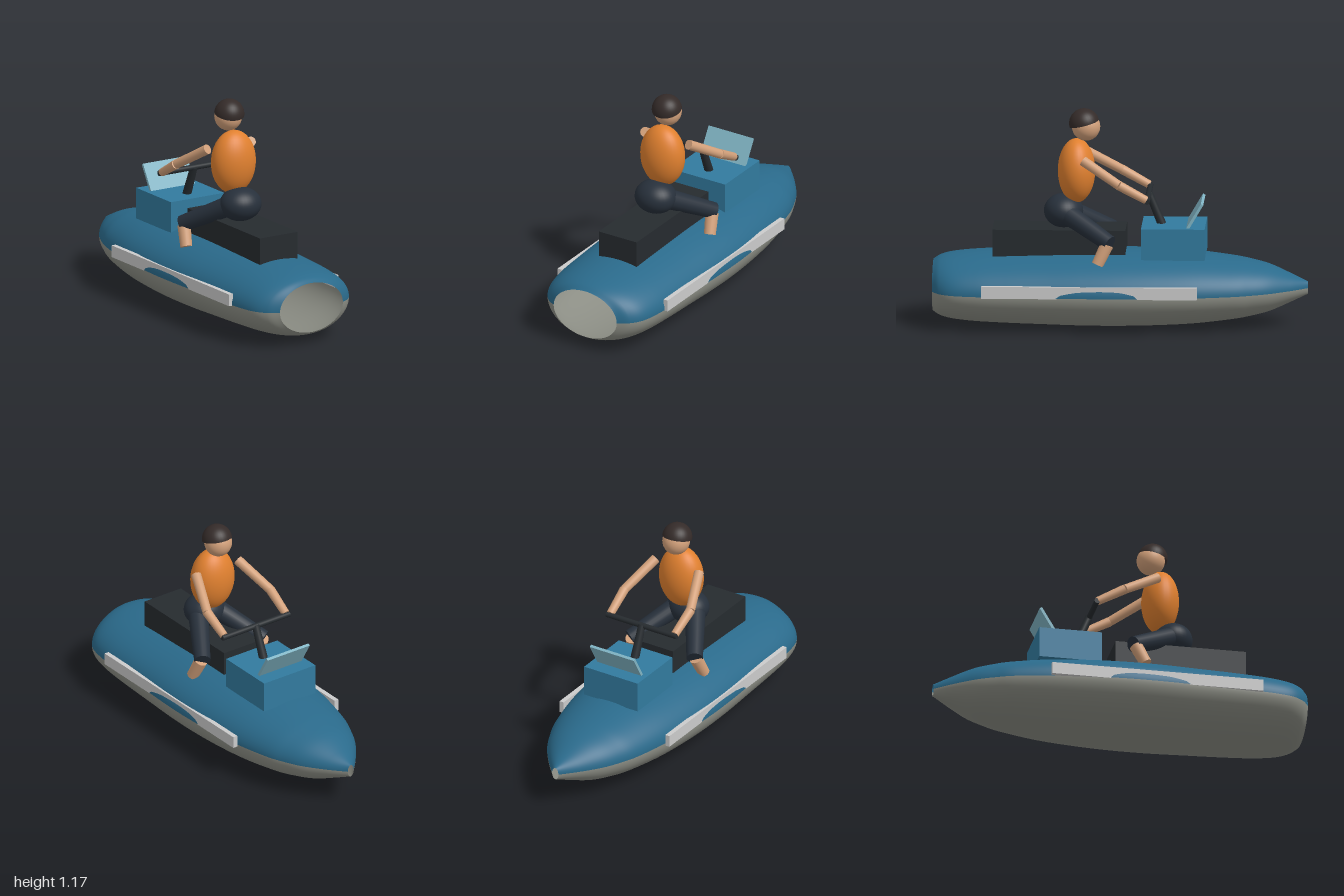
import * as THREE from 'three';
import { ParametricGeometry } from 'three/addons/geometries/ParametricGeometry.js';

const mat = (color, side = THREE.FrontSide) => new THREE.MeshStandardMaterial({ color, side });
const V = (x, y, z) => new THREE.Vector3(x, y, z);

export function createModel() {
  const model = new THREE.Group();
  const skin = mat(0xd2a07a), trousers = mat(0x27303b), dark = mat(0x262b2f);
  const white = mat(0xdcdedc), consoleBlue = mat(0x327a9e);

  const add = (name, geometry, material, position) => {
    const mesh = new THREE.Mesh(geometry, material);
    mesh.name = name;
    if (position) mesh.position.copy(position);
    model.add(mesh);
    return mesh;
  };
  // Box given by its lowest and highest corners
  const box = (name, a, b, material) =>
    add(name, new THREE.BoxGeometry(b.x - a.x, b.y - a.y, b.z - a.z), material, a.clone().add(b).multiplyScalar(0.5));
  // Tapered rod between two points
  const rod = (name, a, b, ra, rb, material) => {
    const dir = b.clone().sub(a);
    const mesh = add(name, new THREE.CylinderGeometry(rb, ra, dir.length(), 20), material, a.clone().lerp(b, 0.5));
    mesh.quaternion.setFromUnitVectors(V(0, 1, 0), dir.normalize());
    return mesh;
  };
  const ellipsoid = (name, center, radii, material) => {
    const mesh = add(name, new THREE.SphereGeometry(1, 32, 24), material, center);
    mesh.scale.copy(radii);
    return mesh;
  };

  // Hull: elliptical sections (half width, half height, z), open at both ends
  const sections = new THREE.CatmullRomCurve3([
    [0.02, 0.034, -1], [0.1, 0.075, -0.91], [0.182, 0.122, -0.8], [0.232, 0.148, -0.7],
    [0.27, 0.166, -0.6], [0.315, 0.189, -0.4], [0.341, 0.2, -0.2], [0.354, 0.205, 0],
    [0.354, 0.205, 0.2], [0.346, 0.2, 0.4], [0.338, 0.194, 0.6], [0.327, 0.186, 0.77],
    [0.304, 0.174, 0.89], [0.26, 0.158, 0.96], [0.2, 0.136, 1],
  ].map(p => V(...p)), false, 'catmullrom');
  const halfHull = start => new ParametricGeometry((u, v, target) => {
    const s = sections.getPoint(v), angle = start + u * Math.PI;
    target.set(s.x * Math.cos(angle), 0.21 + s.y * Math.sin(angle), s.z);
  }, 40, 84);
  add('hullDeck', halfHull(0), mat(0x2a6a8b, THREE.DoubleSide));
  add('hullBottom', halfHull(Math.PI), mat(0x8b8d84, THREE.DoubleSide));

  // Seat, console and windshield
  box('seat', V(-0.12, 0.38, -0.03), V(0.12, 0.535, 0.68), dark);
  box('console', V(-0.17, 0.385, -0.455), V(0.17, 0.555, -0.115), consoleBlue);
  const windshield = add('windshield', new THREE.BoxGeometry(0.28, 0.155, 0.015), mat(0x80b4c4), V(0, 0.618, -0.401));
  windshield.rotation.x = -0.53;

  // Steering
  rod('steeringPost', V(0, 0.55, -0.22), V(0, 0.72, -0.15), 0.024, 0.02, dark);
  rod('handlebar', V(-0.223, 0.715, -0.15), V(0.223, 0.715, -0.15), 0.015, 0.015, dark);

  // Rider body, facing -z
  ellipsoid('torso', V(0, 0.838, 0.236), V(0.128, 0.174, 0.1), mat(0xe0802f));
  ellipsoid('hips', V(0, 0.62, 0.305), V(0.116, 0.091, 0.105), trousers);
  ellipsoid('head', V(0, 1.078, 0.185), V(0.074, 0.077, 0.076), skin);
  const hair = add('hair', new THREE.SphereGeometry(0.081, 32, 12, 0, Math.PI * 2, 0, Math.PI / 2),
    mat(0x342b29, THREE.DoubleSide), V(0, 1.094, 0.195));
  hair.rotation.x = 0.25;

  // Paired parts
  for (const [side, s] of [['left', 1], ['right', -1]]) {
    const P = (x, y, z) => V(s * x, y, z);
    add(side + 'SideStrip', new THREE.BoxGeometry(0.026, 0.065, 1.15), white, P(0.336, 0.239, 0.155));
    const elbow = P(0.21, 0.8, 0);
    rod(side + 'UpperArm', P(0.138, 0.918, 0.195), elbow, 0.027, 0.025, skin);
    rod(side + 'Forearm', elbow, P(0.205, 0.72, -0.145), 0.026, 0.022, skin);
    rod(side + 'Thigh', P(0.06, 0.61, 0.28), P(0.205, 0.482, 0.05), 0.055, 0.044, trousers);
    rod(side + 'Shin', P(0.203, 0.475, 0.065), P(0.221, 0.37, 0.115), 0.036, 0.032, skin);
  }
  return model;
}
